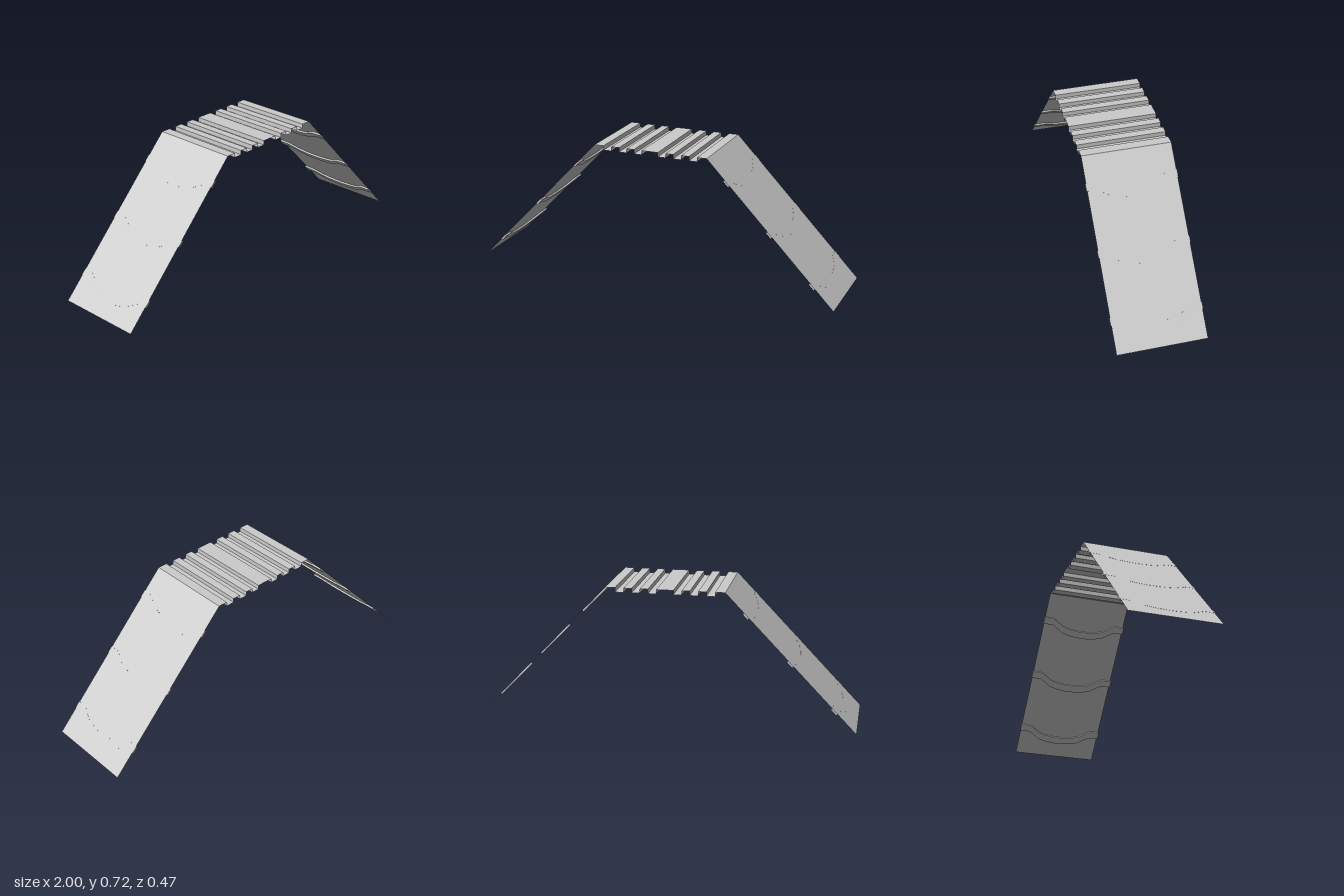
import * as THREE from 'three';

const HALF_WIDTH = 0.234, TOP = 0.717, TOP_X = 0.3125;
const RUN = 1 - TOP_X, SLOPE = Math.hypot(RUN, TOP);
const mat = new THREE.MeshStandardMaterial({ color: 0xcccccc, side: THREE.DoubleSide, flatShading: true });

function add(parent, geometry, name) {
  const mesh = new THREE.Mesh(geometry, mat);
  mesh.name = name;
  parent.add(mesh);
  return mesh;
}

// Curved strap outline: x runs across the panel, y up its slope
function strapGeometry() {
  const half = [[0.237, 0.043], [0.18, 0.041], [0.12, 0.013], [0.08, 0.005], [0.03, 0]];
  const lower = [...half, ...half.map(([x, y]) => [-x, y]).reverse()];
  const k = SLOPE / TOP;
  const points = [
    ...lower.map(([x, y]) => new THREE.Vector2(x, y * k)),
    ...lower.map(([x, y]) => new THREE.Vector2(x, (y + 0.028) * k)).reverse(),
  ];
  const geo = new THREE.ExtrudeGeometry(new THREE.Shape(points), { depth: 0.01, bevelEnabled: false });
  return geo.translate(0, 0, -0.0005);
}

// Sloping thin panel with three straps on its underside
function createSide(name) {
  const side = new THREE.Group();
  side.name = name;
  const slope = new THREE.Group();
  const across = new THREE.Vector3(0, 0, 1);
  const up = new THREE.Vector3(-RUN, TOP, 0).normalize();
  const inward = new THREE.Vector3().crossVectors(across, up);
  slope.quaternion.setFromRotationMatrix(new THREE.Matrix4().makeBasis(across, up, inward));
  slope.position.x = 1;
  side.add(slope);

  add(slope, new THREE.PlaneGeometry(HALF_WIDTH * 2, SLOPE).translate(0, SLOPE / 2, 0), 'slopingPanel');
  const strap = strapGeometry();
  for (let i = 0; i < 3; i++) {
    add(slope, strap, 'strap').position.y = (0.062 + i * 0.2415) * SLOPE / TOP;
  }
  return side;
}

// Square-stepped sheet joining the two slopes
function corrugatedGeometry() {
  const right = [0.045, 0.088, 0.13, 0.173, 0.216, 0.261];
  const steps = [-TOP_X, ...right.map((x) => -x).reverse(), ...right, TOP_X];
  const profile = [];
  for (let i = 0; i < steps.length - 1; i++) {
    const y = i % 2 ? TOP - 0.023 : TOP;
    profile.push([steps[i], y], [steps[i + 1], y]);
  }
  const positions = [], index = [];
  profile.forEach(([x, y], i) => {
    positions.push(x, y, HALF_WIDTH, x, y, -HALF_WIDTH);
    const a = i * 2;
    if (i < profile.length - 1) index.push(a, a + 2, a + 1, a + 2, a + 3, a + 1);
  });
  const geo = new THREE.BufferGeometry();
  geo.setAttribute('position', new THREE.Float32BufferAttribute(positions, 3));
  geo.setIndex(index);
  const flat = geo.toNonIndexed();
  flat.computeVertexNormals();
  return flat;
}

export function createModel() {
  const model = new THREE.Group();
  model.name = 'archedSheet';
  const left = createSide('leftSide');
  const right = createSide('rightSide');
  right.rotation.y = Math.PI;
  model.add(left, right);
  add(model, corrugatedGeometry(), 'corrugatedTop');
  return model;
}
